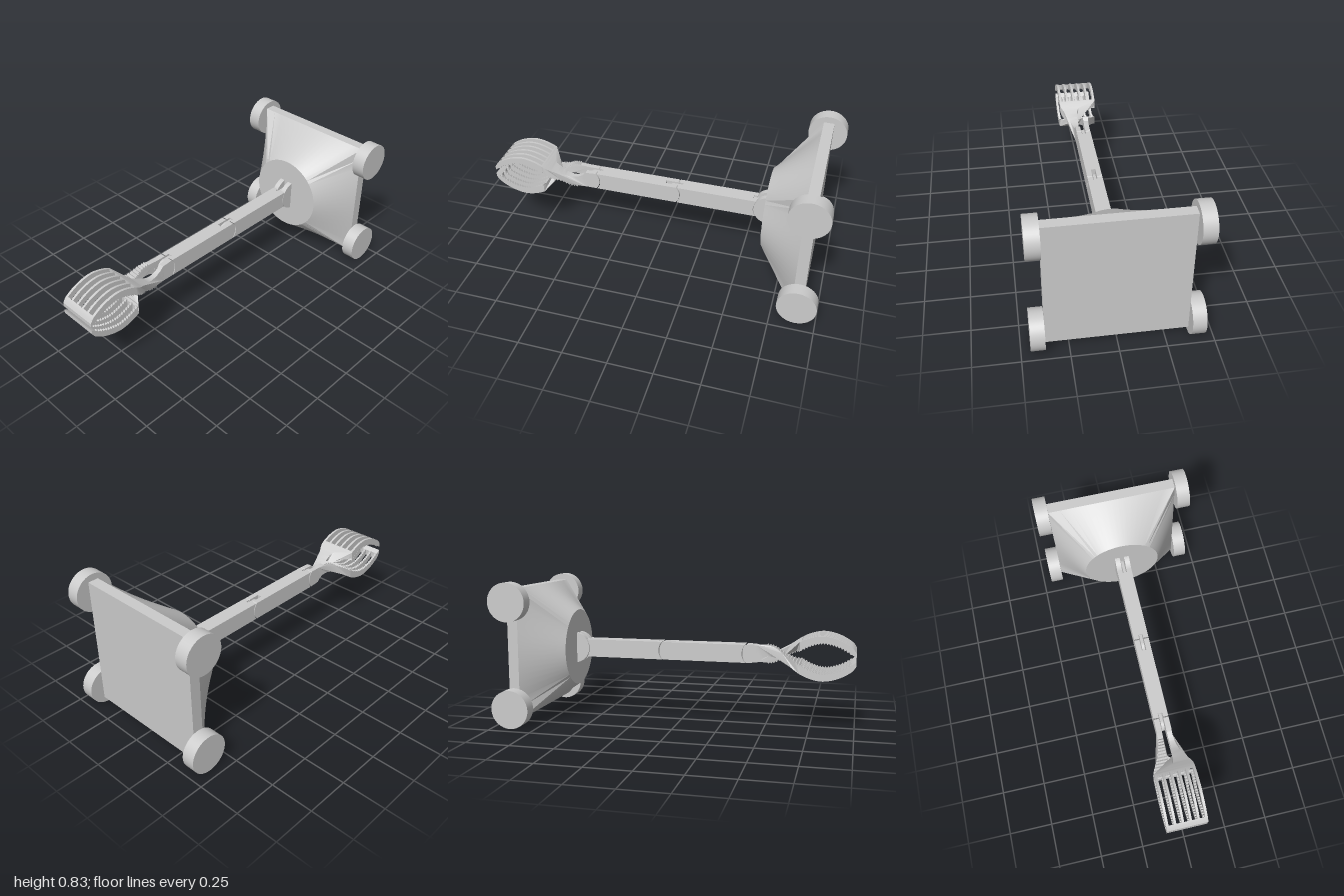
import * as THREE from 'three';
import { toCreasedNormals } from 'three/addons/utils/BufferGeometryUtils.js';

const AXIS_Y = 0.413; // height of the arm axis
const HALF = 0.052;   // half height of the arm
const material = new THREE.MeshStandardMaterial({ color: 0xcccccc });

function add(parent, name, geometry, x = 0, y = 0, z = 0) {
  const mesh = new THREE.Mesh(geometry, material);
  mesh.name = name;
  mesh.position.set(x, y, z);
  parent.add(mesh);
  return mesh;
}

// Side profile of [z, y] points, stretched across x from left(z) to right(z)
function slab(points, left, right) {
  const shape = new THREE.Shape(points.map(([z, y]) => new THREE.Vector2(z, y)));
  const geo = new THREE.ExtrudeGeometry(shape, { depth: 1, bevelEnabled: false });
  geo.rotateY(-Math.PI / 2);
  const p = geo.attributes.position;
  for (let i = 0; i < p.count; i++) {
    const a = left(p.getZ(i)), b = right(p.getZ(i));
    p.setX(i, b + (b - a) * p.getX(i));
  }
  geo.computeVertexNormals();
  return toCreasedNormals(geo, 0.5);
}
const flatSlab = (points, a, b) => slab(points, () => a, () => b);

// Arc on the rear side of a pivot, from top (+HALF) to bottom (-HALF)
function rearArc(centre, radius) {
  const points = [];
  for (let i = 0; i <= 12; i++) {
    const y = HALF * Math.cos((Math.PI * i) / 12);
    points.push([centre - Math.sqrt(radius * radius - y * y), y]);
  }
  return points;
}

// Arc on the front side of a pivot, from top to bottom
const frontArc = (centre, radius) => rearArc(0, radius).map(([z, y]) => [centre - z, y]);

// Arm link: two cheeks, a solid core between them and thin pivot tongues
function link(parent, name, rear, front, core, tongues) {
  const group = new THREE.Group();
  group.name = name;
  parent.add(group);
  const outline = [...rear, ...front.slice().reverse()];
  add(group, 'leftCheek', flatSlab(outline, 0.013, 0.043));
  add(group, 'rightCheek', flatSlab(outline, -0.043, -0.013));
  const [z0, z1] = core;
  add(group, 'core', new THREE.BoxGeometry(0.027, HALF * 2, z1 - z0), 0, 0, (z0 + z1) / 2);
  for (const [z, end] of tongues) {
    add(group, 'tongueWeb', new THREE.BoxGeometry(0.016, 0.09, Math.abs(end - z)), 0, 0, (z + end) / 2);
    add(group, 'tongueEnd', new THREE.CylinderGeometry(0.045, 0.045, 0.016, 32).rotateZ(Math.PI / 2), 0, 0, z);
  }
}

// Jaw: curved, slotted, toothed plate on an offset flaring handle
const jawZ = [0.44, 0.5, 0.55, 0.6, 0.64, 0.7, 0.76, 0.82, 0.9, 0.96, 0.985, 1];
const outerY = [0.045, 0.012, 0.012, 0.034, 0.055, 0.093, 0.117, 0.126, 0.109, 0.078, 0.058, 0.035];
const innerY = [-0.052, -0.054, -0.045, -0.013, 0.008, 0.047, 0.076, 0.089, 0.073, 0.042, 0.022, 0.012];
const outerCurve = new THREE.CubicInterpolant(jawZ, outerY, 1);
const innerCurve = new THREE.CubicInterpolant(jawZ, innerY, 1);
const handleZ = [0.44, 0.48, 0.53, 0.58, 0.62, 0.65, 0.67, 0.69, 0.71];
const leftEdge = new THREE.LinearInterpolant(handleZ, [0.013, 0.015, 0.017, 0.017, 0.013, 0.002, -0.03, -0.115, -0.115], 1);
const rightEdge = new THREE.LinearInterpolant(handleZ, [0.043, 0.043, 0.05, 0.064, 0.085, 0.103, 0.112, 0.115, 0.115], 1);

function jawProfile(z0, z1) {
  const top = [], bottom = [];
  const n = 2 * Math.max(1, Math.round((z1 - z0) / 0.0155));
  for (let i = 0; i <= n; i++) {
    const z = z0 + ((z1 - z0) * i) / n;
    const tooth = i % 2 && z > 0.5 && z < 0.98 ? 0.009 : 0;
    top.push([z, outerCurve.evaluate(z)[0]]);
    bottom.push([z, innerCurve.evaluate(z)[0] - tooth]);
  }
  return [...bottom, ...top.reverse()];
}

function makeJaw(name) {
  const jaw = new THREE.Group();
  jaw.name = name;
  add(jaw, 'wristLug', flatSlab([...rearArc(0.44, 0.075), [0.44, -HALF], [0.465, -HALF], [0.465, 0.03], [0.45, 0.047]], 0.013, 0.043));
  add(jaw, 'handle', slab(jawProfile(0.44, 0.7),
    (z) => leftEdge.evaluate(z)[0], (z) => rightEdge.evaluate(z)[0]));
  for (let i = 0; i < 6; i++) {
    const x = -0.108 + i * 0.0432;
    const w = i === 0 || i === 5 ? 0.007 : 0.0065;
    add(jaw, 'finger', flatSlab(jawProfile(0.695, 0.99), x - w, x + w));
  }
  add(jaw, 'tip', flatSlab(jawProfile(0.975, 1), -0.115, 0.115));
  return jaw;
}

export function createModel() {
  const model = new THREE.Group();
  model.name = 'grabberRobot';

  // Base plate
  add(model, 'basePlate', new THREE.BoxGeometry(0.75, 0.75, 0.06), 0, AXIS_Y, -0.89);

  // Body blending from a square to a circle
  const body = new THREE.CylinderGeometry(0.225, 0.375, 0.225, 64);
  const p = body.attributes.position;
  for (let i = 0; i < p.count; i++) {
    const x = p.getX(i), z = p.getZ(i);
    const m = Math.max(Math.abs(x), Math.abs(z));
    if (p.getY(i) < 0 && m > 0) {
      const s = Math.hypot(x, z) / m;
      p.setX(i, x * s);
      p.setZ(i, z * s);
    }
  }
  body.rotateX(Math.PI / 2);
  body.computeVertexNormals();
  add(model, 'body', toCreasedNormals(body, 0.5), 0, AXIS_Y, -0.7475);

  // Wheels
  for (const sx of [-1, 1]) {
    for (const sy of [-1, 1]) {
      const wheel = new THREE.CylinderGeometry(0.11, 0.11, 0.075, 48).rotateZ(Math.PI / 2);
      add(model, 'wheel', wheel, sx * 0.4125, AXIS_Y + sy * 0.303, -0.89);
    }
  }

  // Arm
  const arm = new THREE.Group();
  arm.name = 'arm';
  arm.position.y = AXIS_Y;
  model.add(arm);
  for (const s of [-1, 1]) {
    const lug = new THREE.CylinderGeometry(0.09, 0.09, 0.03, 48).rotateZ(Math.PI / 2);
    add(arm, 'shoulderLug', lug, s * 0.028, 0, -0.648);
  }
  link(arm, 'upperArm', frontArc(-0.648, 0.093), rearArc(-0.05, 0.08),
    [-0.55, -0.135], [[-0.62, -0.54], [-0.085, -0.15]]);
  link(arm, 'forearm', rearArc(-0.05, 0.075), rearArc(0.44, 0.08),
    [-0.035, 0.355], [[0.4, 0.34]]);

  // Claw: the lower jaw is the upper one turned half round the arm axis
  const lower = makeJaw('lowerJaw');
  lower.rotation.z = Math.PI;
  arm.add(makeJaw('upperJaw'), lower);

  return model;
}
